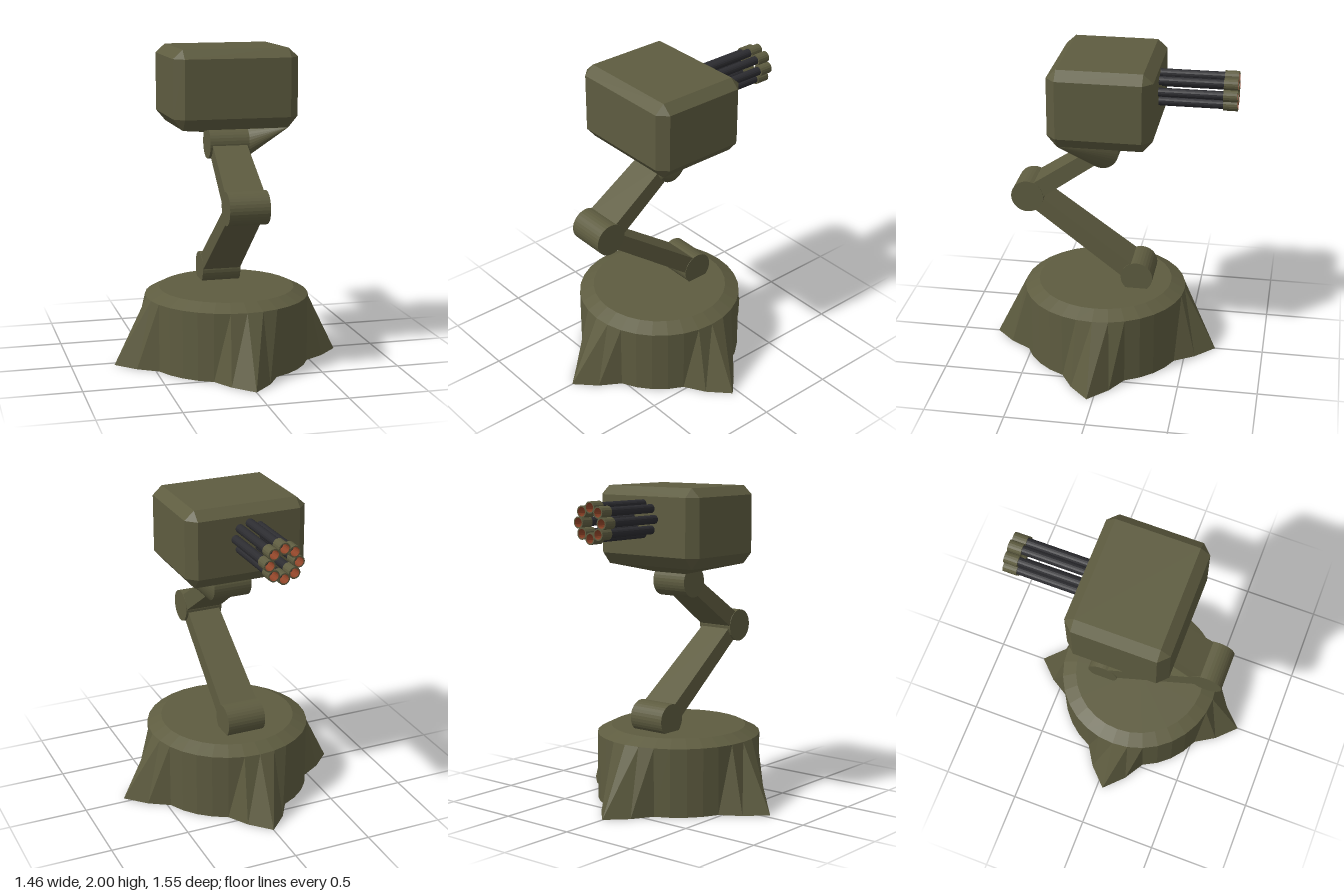
import * as THREE from 'three';
import { ConvexGeometry } from 'three/addons/geometries/ConvexGeometry.js';

const paint = (color, side = THREE.FrontSide) =>
  new THREE.MeshStandardMaterial({ color, flatShading: true, side });
const olive = paint(0x5e5c40);
const oliveThin = paint(0x5e5c40, THREE.DoubleSide);
const gunmetal = paint(0x2c2c30);
const rust = paint(0x8f4428, THREE.DoubleSide);

function add(parent, name, geometry, material = olive) {
  const mesh = new THREE.Mesh(geometry, material);
  mesh.name = name;
  parent.add(mesh);
  return mesh;
}

// Joint centres as [y, z]
const SHOULDER = [0.55, -0.18], ELBOW = [1.07, 0.52], WRIST = [1.4, 0.04];
const HALF = 0.125;

// Round pedestal whose foot flares into four points
function addBase(parent) {
  const base = new THREE.Group();
  base.name = 'base';
  base.position.z = 0.04;
  parent.add(base);

  const geo = new THREE.CylinderGeometry(0.52, 0.52, 0.43, 32);
  const pos = geo.attributes.position;
  for (let i = 0; i < pos.count; i++) {
    const x = pos.getX(i), z = pos.getZ(i), r = Math.hypot(x, z);
    if (pos.getY(i) > 0 || r < 0.1) continue;
    const steps = Math.round(Math.atan2(z, x) / (Math.PI / 16));
    const fromPoint = Math.abs(steps - 8 * Math.round(steps / 8));
    const s = ([0.73, 0.62][fromPoint] ?? 0.52) / r;
    pos.setX(i, x * s);
    pos.setZ(i, z * s);
  }
  geo.translate(0, 0.215, 0);
  add(base, 'pedestal', geo);
  add(base, 'pedestalTop', new THREE.CylinderGeometry(0.43, 0.52, 0.045, 32).translate(0, 0.4525, 0));
}

function addJoint(parent, name, [y, z], radius) {
  const geo = new THREE.CylinderGeometry(radius, radius, HALF * 2, 32).rotateZ(Math.PI / 2);
  add(parent, name, geo).position.set(0, y, z);
}

// Tapered bar running from one joint to the next
function addArm(parent, name, [y0, z0], [y1, z1]) {
  const geo = new THREE.BoxGeometry(1, Math.hypot(y1 - y0, z1 - z0), 1);
  const pos = geo.attributes.position;
  for (let i = 0; i < pos.count; i++) {
    const low = pos.getY(i) < 0;
    pos.setX(i, pos.getX(i) * (low ? 0.248 : 0.215));
    pos.setZ(i, pos.getZ(i) * (low ? 0.11 : 0.095));
  }
  const arm = add(parent, name, geo);
  arm.position.set(0, (y0 + y1) / 2, (z0 + z1) / 2);
  arm.rotation.x = Math.atan2(z1 - z0, y1 - y0);
}

// Box with all edges chamfered
function addHead(parent) {
  const outer = [[-0.39, 0.39], [1.512, 2], [-0.3, 0.34]];
  const inner = [[-0.33, 0.33], [1.583, 1.945], [-0.24, 0.28]];
  const points = [];
  for (let axis = 0; axis < 3; axis++)
    for (let corner = 0; corner < 8; corner++)
      points.push(new THREE.Vector3(...[0, 1, 2].map(
        a => (a === axis ? outer : inner)[a][(corner >> a) & 1])));
  add(parent, 'head', new ConvexGeometry(points));
}

// Skin between the head's underside and the top joint; its left side fans over the joint's end
function addNeck(parent) {
  const N = 32, R = 0.1;
  const rim = (k, x) => {
    const a = (k / N) * Math.PI * 2; // from the top, turning towards the back
    return [x, WRIST[0] + R * Math.cos(a), WRIST[1] - R * Math.sin(a)];
  };
  const back = 5;
  const A = [0.33, 1.512, 0.28], B = [0.33, 1.512, -0.24];
  const A2 = [-0.33, 1.512, 0.28], B2 = [-0.33, 1.512, -0.24];
  const T = rim(0, HALF), T2 = rim(0, -HALF), P = rim(back, HALF), P2 = rim(back, -HALF);
  const v = [];
  const tri = (...c) => v.push(...c.flat());
  const quad = (a, b, c, d) => { tri(a, b, c); tri(a, c, d); };
  for (let k = back; k < N; k++) tri(A, rim(k + 1, HALF), rim(k, HALF));
  tri(A, P, B);
  quad(B, P, P2, B2);
  quad(A, A2, T2, T);
  quad(A2, B2, P2, T2);
  const geo = new THREE.BufferGeometry();
  geo.setAttribute('position', new THREE.Float32BufferAttribute(v, 3));
  geo.computeVertexNormals();
  add(parent, 'neck', geo, oliveThin);
}

// Ring of eight barrels with hollow muzzles
function addGun(parent) {
  const gun = new THREE.Group();
  gun.name = 'barrelCluster';
  gun.position.y = 1.808;
  parent.add(gun);
  const barrelGeo = new THREE.CylinderGeometry(0.027, 0.027, 0.45, 16).rotateX(Math.PI / 2);
  const muzzleGeo = new THREE.CylinderGeometry(0.036, 0.036, 0.085, 16, 1, true).rotateX(Math.PI / 2);
  const boreGeo = new THREE.CylinderGeometry(0.028, 0.028, 0.085, 16, 1, true).rotateX(Math.PI / 2);
  const ringGeo = new THREE.RingGeometry(0.028, 0.036, 16);
  const floorGeo = new THREE.CircleGeometry(0.036, 16);
  for (let i = 0; i < 8; i++) {
    const a = (i * Math.PI) / 4;
    const unit = new THREE.Group();
    unit.name = 'barrelUnit';
    unit.position.set(0.091 * Math.cos(a), 0.091 * Math.sin(a), 0);
    gun.add(unit);
    add(unit, 'barrel', barrelGeo, gunmetal).position.z = -0.475;
    add(unit, 'muzzle', muzzleGeo, oliveThin).position.z = -0.7325;
    add(unit, 'muzzleBore', boreGeo, rust).position.z = -0.7325;
    add(unit, 'muzzleRim', ringGeo, oliveThin).position.z = -0.775;
    add(unit, 'muzzleBase', floorGeo, oliveThin).position.z = -0.69;
  }
}

export function createModel() {
  const model = new THREE.Group();
  model.name = 'turret';
  addBase(model);
  addJoint(model, 'lowerJoint', SHOULDER, 0.102);
  addJoint(model, 'elbowJoint', ELBOW, 0.103);
  addJoint(model, 'upperJoint', WRIST, 0.1);
  addArm(model, 'lowerArm', SHOULDER, ELBOW);
  addArm(model, 'upperArm', ELBOW, WRIST);
  addNeck(model);
  addHead(model);
  addGun(model);
  return model;
}
